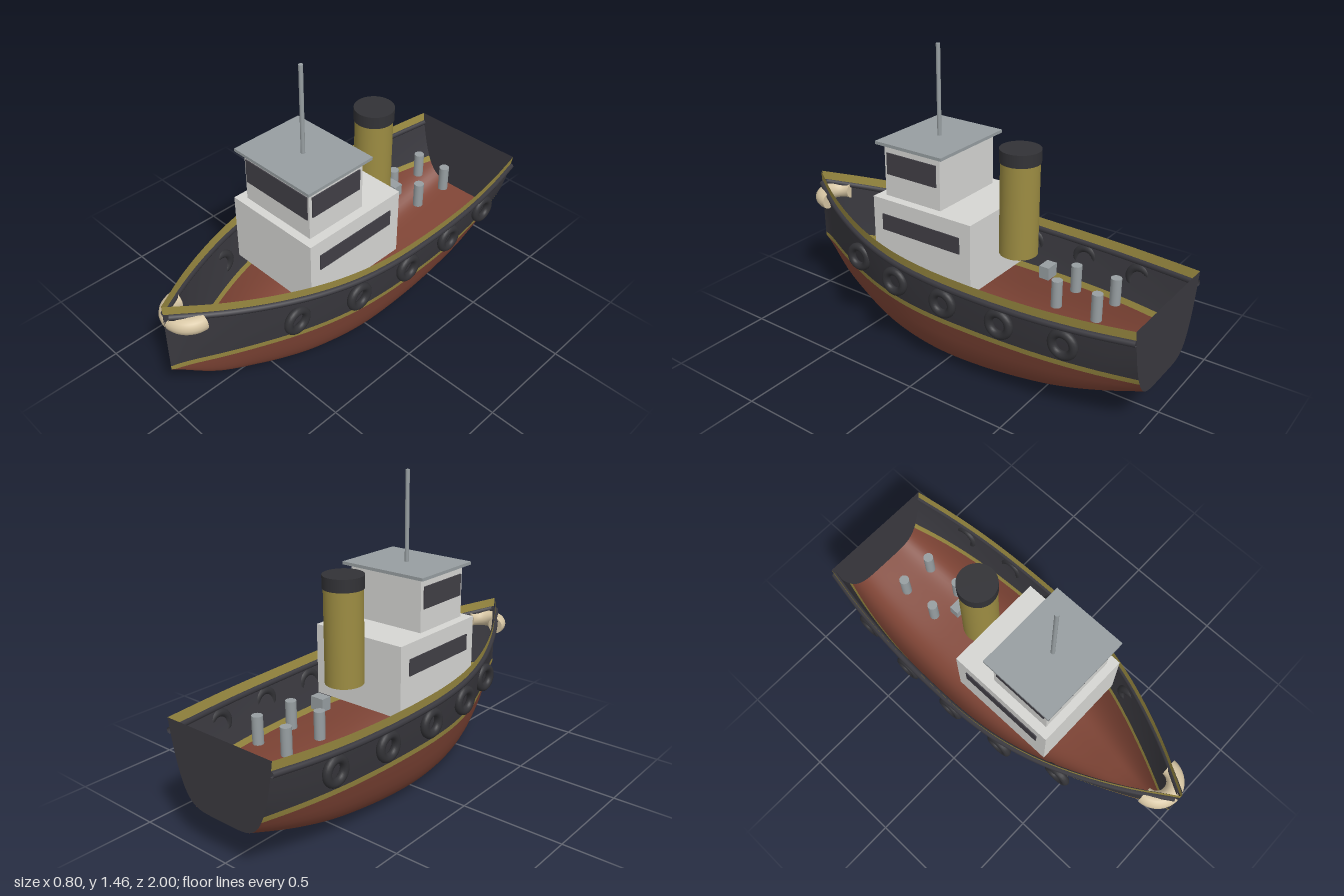
import * as THREE from 'three';

const mat = (name, color, side = THREE.FrontSide) => {
  const m = new THREE.MeshStandardMaterial({ color, side });
  m.name = name;
  return m;
};

// Hull lines, one value per station from stern (z = -1) to bow (z = 1), step 0.2
const BEAM = [0.305, 0.34, 0.365, 0.378, 0.382, 0.378, 0.355, 0.305, 0.228, 0.128, 0.003];
const SHEER = [0.57, 0.562, 0.558, 0.557, 0.559, 0.565, 0.575, 0.59, 0.61, 0.635, 0.665];
const KEEL = [0.195, 0.125, 0.07, 0.035, 0.012, 0.003, 0.01, 0.03, 0.075, 0.145, 0.29];

// Smooth interpolation between stations
function at(table, z) {
  const f = Math.min(Math.max((z + 1) * 5, 0), 10);
  const i = Math.min(Math.floor(f), 9), t = f - i;
  const b = table[i], c = table[i + 1];
  const a = i > 0 ? table[i - 1] : 2 * b - c;
  const d = i < 9 ? table[i + 2] : 2 * c - b;
  return b + 0.5 * t * (c - a + t * (2 * a - 5 * b + 4 * c - d + t * (3 * (b - c) + d - a)));
}
const sheer = (z) => at(SHEER, z);
const keel = (z) => at(KEEL, z);
const power = (z) => 0.19 + 0.15 * Math.max(0, z) ** 2;

// Half width of the hull at height y
function halfWidth(z, y) {
  const u = Math.max(0, (y - keel(z)) / (sheer(z) - keel(z)));
  return at(BEAM, z) * Math.pow(u, power(z));
}

// Surface from a rule fn(u, v) -> [x, y, z]
function grid(fn, nu, nv, flip) {
  const pos = [], idx = [];
  for (let i = 0; i <= nu; i++) {
    for (let j = 0; j <= nv; j++) pos.push(...fn(i / nu, j / nv));
  }
  for (let i = 0; i < nu; i++) {
    for (let j = 0; j < nv; j++) {
      const a = i * (nv + 1) + j, b = a + nv + 1;
      if (flip) idx.push(a, a + 1, b, b, a + 1, b + 1);
      else idx.push(a, b, a + 1, b, b + 1, a + 1);
    }
  }
  const g = new THREE.BufferGeometry();
  g.setAttribute('position', new THREE.Float32BufferAttribute(pos, 3));
  g.setIndex(idx);
  g.computeVertexNormals();
  return g;
}

export function createModel() {
  const boat = new THREE.Group();
  boat.name = 'tugboat';

  const black = mat('hullBlack', 0x3a393f, THREE.DoubleSide);
  const red = mat('bottomRed', 0x804536, THREE.DoubleSide);
  const gold = mat('trimGold', 0x9c8c42, THREE.DoubleSide);
  const white = mat('houseWhite', 0xd6d6d3);
  const glass = mat('windowDark', 0x413f46);
  const grey = mat('metalGrey', 0x979ea1);
  const rubber = mat('rubberBlack', 0x323236);
  const cream = mat('fenderCream', 0xd6c5a3, THREE.DoubleSide);

  const add = (name, geo, material, x = 0, y = 0, z = 0) => {
    const m = new THREE.Mesh(geo, material);
    m.name = name;
    m.position.set(x, y, z);
    boat.add(m);
    return m;
  };
  // Box given by its centre x, z extent and y extent
  const box = (name, material, width, y0, y1, z0, z1, x = 0) =>
    add(name, new THREE.BoxGeometry(width, y1 - y0, z1 - z0), material, x, (y0 + y1) / 2, (z0 + z1) / 2);
  const post = (name, material, r, y0, y1, x, z, sides = 24) =>
    add(name, new THREE.CylinderGeometry(r, r, y1 - y0, sides), material, x, (y0 + y1) / 2, z);

  // Hull shell: painted bands stacked from keel to rail, open inside
  const clampKeel = (h) => (z) => Math.max(h, keel(z));
  const railBase = (z) => sheer(z) - 0.045;
  const bands = [
    ['hullBottom', keel, clampKeel(0.28), 16, red],
    ['waterlineStripe', clampKeel(0.28), clampKeel(0.31), 2, gold],
    ['hullSide', clampKeel(0.31), railBase, 5, black],
    ['bulwarkBand', railBase, sheer, 1, gold],
  ];
  for (const side of [-1, 1]) {
    for (const [name, low, high, rows, material] of bands) {
      const rule = (u, v) => {
        const z = -1 + 2 * u;
        const t = name === 'hullBottom' ? Math.pow(v, 1 / power(z)) : v;
        const y = low(z) + (high(z) - low(z)) * t;
        return [side * halfWidth(z, y), y, z];
      };
      add(name, grid(rule, 80, rows, side > 0), material);
    }

    // Rubbing strake
    const path = [];
    for (let i = 0; i <= 30; i++) {
      const z = -1 + (i / 30) * 1.985, y = sheer(z) - 0.058;
      path.push(new THREE.Vector3(side * (halfWidth(z, y) + 0.004), y, z));
    }
    add('rubbingStrake', new THREE.TubeGeometry(new THREE.CatmullRomCurve3(path), 80, 0.015, 8), black);

    // Tyre fenders along the side
    for (const z of [0.5, 0.2, -0.1, -0.4, -0.7]) {
      const tyre = add('tyreFender', new THREE.TorusGeometry(0.052, 0.02, 12, 28), rubber,
        side * (halfWidth(z, 0.42) + 0.018), 0.42, z);
      tyre.rotation.y = Math.PI / 2;
    }

    // Side windows
    box('cabinSideWindow', glass, 0.008, 0.61, 0.69, -0.1, 0.345, side * 0.251);
    box('wheelhouseSideWindow', glass, 0.008, 0.875, 0.98, 0.06, 0.345, side * 0.207);

    // Mooring posts on the aft deck
    for (const z of [-0.51, -0.71]) post('bollard', grey, 0.025, 0.41, 0.54, side * 0.085, z, 16);
  }

  // Flat stern
  add('transom', grid((u, v) => {
    const y = keel(-1) + (sheer(-1) - keel(-1)) * Math.pow(v, 3);
    return [(2 * u - 1) * halfWidth(-1, y), y, -1];
  }, 2, 24, true), black);

  // Bow fender: half ring around the stem with closed ends
  const fender = add('bowFender', new THREE.TorusGeometry(0.088, 0.042, 16, 32, Math.PI), cream, 0, 0.557, 0.87);
  fender.rotation.x = Math.PI / 2;
  for (const side of [-1, 1]) {
    const cap = add('bowFenderEnd', new THREE.CircleGeometry(0.042, 16), cream, side * 0.088, 0.557, 0.87);
    cap.rotation.y = Math.PI;
  }

  // Deckhouse and wheelhouse
  box('cabin', white, 0.5, 0.42, 0.765, -0.16, 0.4);
  box('wheelhouse', white, 0.41, 0.765, 1.02, 0.04, 0.36);
  box('wheelhouseFrontWindow', glass, 0.39, 0.863, 0.983, 0.357, 0.365);
  box('roof', grey, 0.47, 1.02, 1.035, 0.01, 0.39);
  post('mast', grey, 0.01, 1.035, 1.467, 0, 0.2, 16);

  // Funnel with dark cap
  post('funnel', gold, 0.09, 0.565, 1.01, 0, -0.25, 40);
  post('funnelCap', rubber, 0.095, 1.01, 1.07, 0, -0.25, 40);

  // Towing block behind the funnel
  box('towingBlock', grey, 0.07, 0.49, 0.55, -0.435, -0.385);

  return boat;
}
